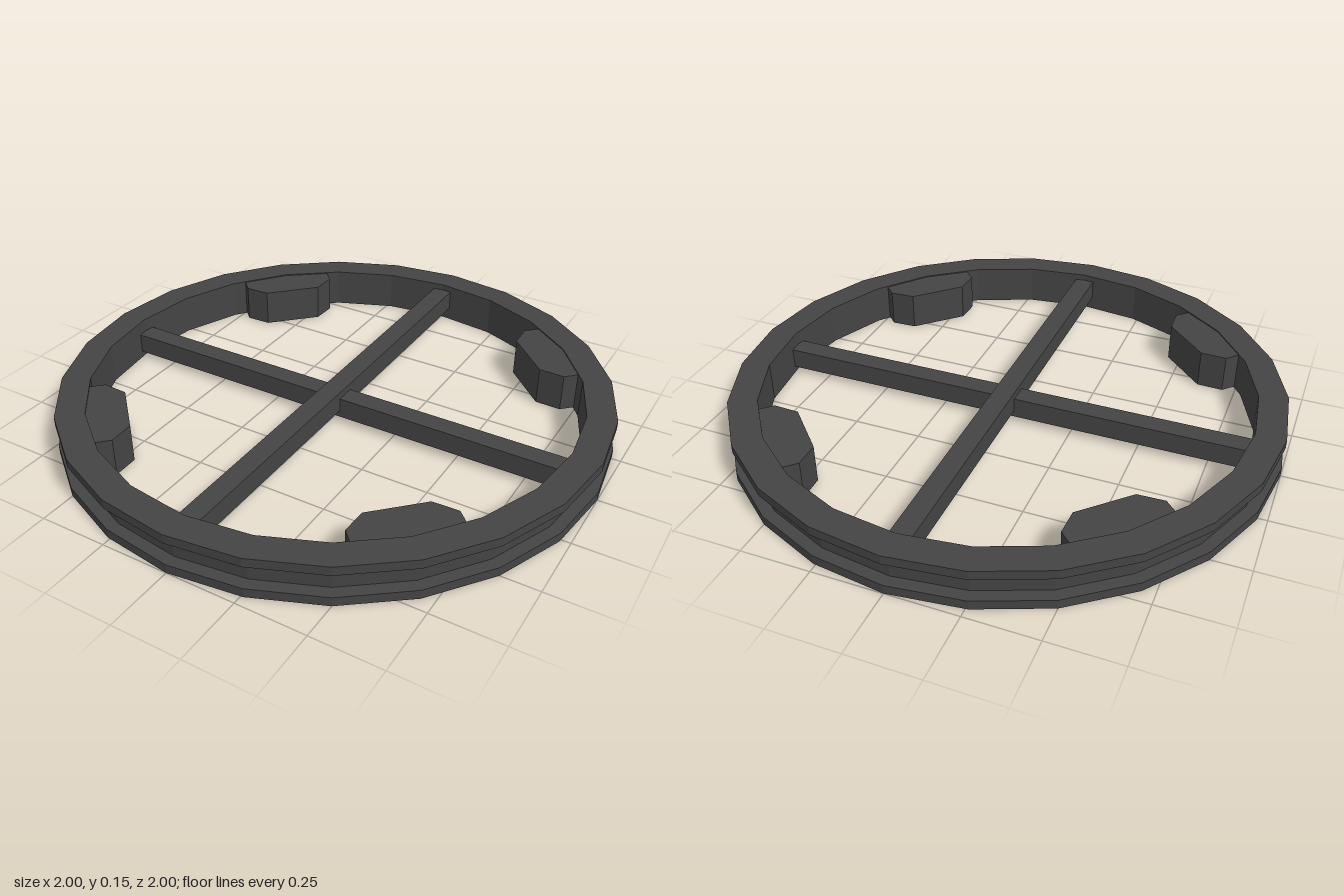
import * as THREE from 'three';

const darkGrey = new THREE.MeshStandardMaterial({ color: 0x444444 });
darkGrey.name = 'dark grey';

// Faceted mesh: unshared corners give flat normals
function part(name, geometry) {
  const flat = geometry.index ? geometry.toNonIndexed() : geometry;
  flat.computeVertexNormals();
  const mesh = new THREE.Mesh(flat, darkGrey);
  mesh.name = name;
  return mesh;
}

export function createModel() {
  const model = new THREE.Group();
  model.name = 'groovedWheel';

  // 24-sided rim with two flanges and a groove between them
  const profile = [
    [0.895, 0], [1, 0], [1, 0.033], [0.957, 0.033],
    [0.957, 0.117], [1, 0.117], [1, 0.15], [0.895, 0.15], [0.895, 0],
  ].map(([r, y]) => new THREE.Vector2(r, y));
  model.add(part('rim', new THREE.LatheGeometry(profile, 24)));

  // Crossed bars, one set slightly above the other
  const upperBar = part('upperCrossbar', new THREE.BoxGeometry(0.076, 0.076, 1.8));
  upperBar.position.y = 0.088;
  const lowerBar = part('lowerCrossbar', new THREE.BoxGeometry(1.8, 0.076, 0.076));
  lowerBar.position.y = 0.062;
  model.add(upperBar, lowerBar);

  // Bevelled blocks inside the rim, one on each diagonal
  const outline = new THREE.Shape([
    [-0.11, 0.75], [0.11, 0.75], [0.18, 0.815], [0.18, 0.89],
    [0.11, 0.935], [-0.11, 0.935], [-0.18, 0.89], [-0.18, 0.815],
  ].map(([x, y]) => new THREE.Vector2(x, y)));
  for (let i = 0; i < 4; i++) {
    const geometry = new THREE.ExtrudeGeometry(outline, { depth: 0.142, bevelEnabled: false });
    geometry.rotateX(-Math.PI / 2);
    const block = part('innerBlock' + (i + 1), geometry);
    block.position.y = 0.004;
    block.rotation.y = Math.PI / 4 + (i * Math.PI) / 2;
    model.add(block);
  }

  return model;
}
